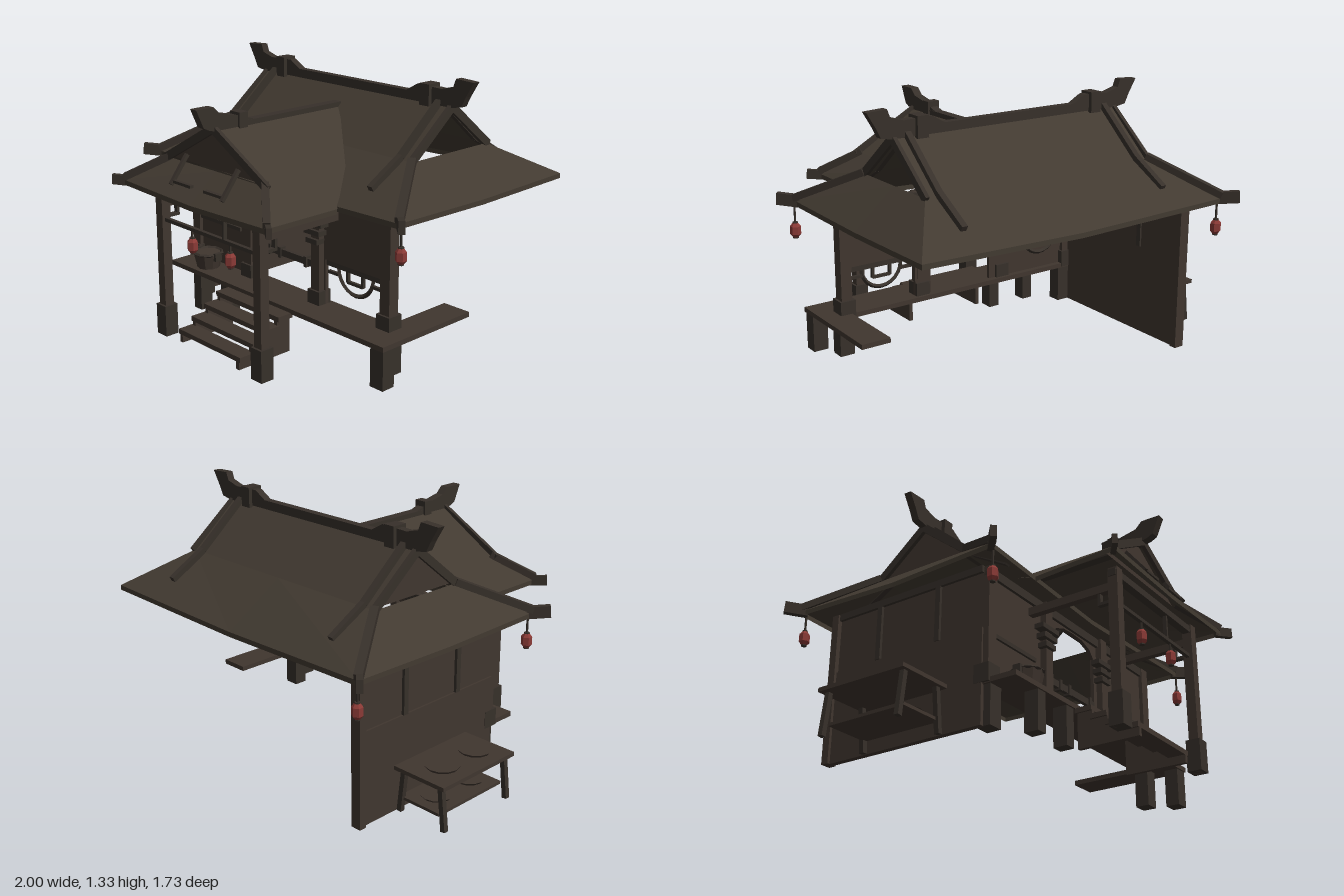
import * as THREE from 'three';

const mat = (name, color) => {
  const m = new THREE.MeshStandardMaterial({ color, side: THREE.DoubleSide, flatShading: true });
  m.name = name;
  return m;
};

export function createModel() {
  const wood = mat('brown wood', 0x40362f);
  const roofing = mat('roof boards', 0x423a31);
  const dark = mat('dark timber', 0x37302a);
  const red = mat('lantern red', 0x8a3a36);
  const root = new THREE.Group();
  root.name = 'porchHouse';

  const add = (name, geo, m, x = 0, y = 0, z = 0) => {
    const o = new THREE.Mesh(geo, m);
    o.name = name;
    o.position.set(x, y, z);
    root.add(o);
    return o;
  };
  // box given by its min and max corners
  const box = (name, m, x0, x1, y0, y1, z0, z1) =>
    add(name, new THREE.BoxGeometry(x1 - x0, y1 - y0, z1 - z0), m, (x0 + x1) / 2, (y0 + y1) / 2, (z0 + z1) / 2);
  // square bar between two points
  const beam = (name, m, a, b, w, h) => {
    const A = new THREE.Vector3(...a), B = new THREE.Vector3(...b);
    const o = add(name, new THREE.BoxGeometry(w, h, A.distanceTo(B)), m);
    o.position.copy(A).add(B).multiplyScalar(0.5);
    o.lookAt(B);
    return o;
  };
  // sheet through rows of points of equal count
  const sheet = (name, m, rows) => {
    const n = rows[0].length, idx = [];
    for (let r = 0; r < rows.length - 1; r++)
      for (let i = 0; i < n - 1; i++) {
        const a = r * n + i, b = a + n;
        idx.push(a, b, a + 1, a + 1, b, b + 1);
      }
    const g = new THREE.BufferGeometry();
    g.setAttribute('position', new THREE.Float32BufferAttribute(rows.flat(2), 3));
    g.setIndex(idx);
    g.computeVertexNormals();
    return add(name, g, m);
  };
  const extrude = (pts, depth) => {
    const g = new THREE.ExtrudeGeometry(new THREE.Shape(pts.map(p => new THREE.Vector2(...p))), { depth, bevelEnabled: false });
    return g.translate(0, 0, -depth / 2);
  };

  // ---- main hip-and-gable roof ----
  const cx = 0.05, cz = -0.21;
  for (const s of [1, -1]) {
    const Z = d => cz + s * d;
    sheet(s > 0 ? 'frontRoofSlope' : 'backRoofSlope', roofing, [
      [[-0.6, 1.2, cz], [cx, 1.2, cz], [0.7, 1.2, cz]],
      [[-0.6, 0.97, Z(0.27)], [cx, 0.97, Z(0.27)], [0.7, 0.97, Z(0.27)]],
      [[-0.82, 0.8, Z(0.59)], [cx, 0.775, Z(0.575)], [0.92, 0.8, Z(0.59)]],
      [[-0.82, 0.775, Z(0.59)], [cx, 0.75, Z(0.575)], [0.92, 0.775, Z(0.59)]]]);
    const X = d => cx + s * d;
    sheet('sideRoofSkirt', roofing, [
      [[X(0.65), 0.97, cz + 0.27], [X(0.65), 0.97, cz], [X(0.65), 0.97, cz - 0.27]],
      [[X(0.87), 0.8, cz + 0.59], [X(0.86), 0.785, cz], [X(0.87), 0.8, cz - 0.59]],
      [[X(0.87), 0.775, cz + 0.59], [X(0.86), 0.76, cz], [X(0.87), 0.775, cz - 0.59]]]);
    // raised strips running down both slopes
    for (const x of [-0.53, 0.63]) {
      beam('roofStrip', dark, [x, 1.215, cz], [x, 0.985, Z(0.27)], 0.03, 0.03);
      beam('roofStrip', dark, [x, 0.985, Z(0.27)], [x, 0.87, Z(0.47)], 0.03, 0.03);
    }
    // gable edge boards
    for (const x of [-0.6, 0.7]) beam('gableBoard', dark, [x, 1.19, cz], [x, 0.965, Z(0.28)], 0.02, 0.04);
  }
  sheet('gable', wood, [[[-0.58, 1.19, cz], [-0.58, 1.19, cz]], [[-0.58, 0.97, cz + 0.26], [-0.58, 0.97, cz - 0.26]]]);
  for (const [sx, sz] of [[-1, 1], [1, 1], [-1, -1]]) {
    const P = (x, y, z) => [cx + sx * x, y, cz + sz * z];
    beam('hipBeam', dark, P(0.65, 0.98, 0.27), P(0.87, 0.815, 0.59), 0.04, 0.035);
    beam('hipTip', dark, P(0.85, 0.8, 0.565), P(0.935, 0.81, 0.645), 0.03, 0.06);
  }

  // ---- ridges with upturned ends ----
  box('mainRidge', dark, -0.4, 0.5, 1.19, 1.235, cz - 0.02, cz + 0.02);
  const horn = [[0.45, 1.19], [0.66, 1.19], [0.72, 1.2], [0.745, 1.25], [0.79, 1.325], [0.685, 1.33],
    [0.67, 1.29], [0.6, 1.27], [0.45, 1.275], [0.38, 1.235], [0.38, 1.19]];
  for (const s of [1, -1]) {
    add('ridgeHorn', extrude(horn.map(([x, y]) => [cx + s * x, y]), 0.04), dark, 0, 0, cz);
    box('ridgeBlock', dark, cx + s * 0.51 - 0.03, cx + s * 0.51 + 0.03, 1.18, 1.285, cz - 0.04, cz + 0.04);
  }
  const px = 0.03;
  box('porchRidge', dark, px - 0.025, px + 0.025, 1.09, 1.13, -0.12, 0.55);
  const porchHorn = add('porchHorn', extrude([[0.5, 1.09], [0.66, 1.1], [0.72, 1.115], [0.75, 1.13], [0.79, 1.22],
    [0.69, 1.22], [0.655, 1.185], [0.56, 1.165], [0.45, 1.13], [0.45, 1.09]], 0.045), dark, px);
  porchHorn.rotation.y = -Math.PI / 2;
  box('porchRidgeBlock', dark, px - 0.035, px + 0.035, 1.1, 1.175, 0.5, 0.55);

  // ---- porch roof ----
  for (const s of [1, -1]) {
    const X = d => px + s * d;
    sheet('porchRoofSlope', roofing, [
      [[px, 1.12, 0.67], [px, 1.12, -0.13]],
      [[X(0.35), 0.91, 0.67], [X(0.35), 0.91, 0.17]],
      [[X(0.53), 0.79, 0.825], [X(0.51), 0.78, 0.38]],
      [[X(0.53), 0.765, 0.825], [X(0.51), 0.755, 0.38]]]);
    beam('porchHipBeam', dark, [X(0.35), 0.92, 0.67], [X(0.53), 0.805, 0.82], 0.035, 0.035);
    beam('porchHipTip', dark, [X(0.51), 0.785, 0.8], [X(0.585), 0.79, 0.855], 0.025, 0.05);
    beam('porchGableBoard', dark, [px, 1.115, 0.68], [X(0.38), 0.905, 0.68], 0.02, 0.04);
    // small struts lying on the front skirt
    beam('skirtStrut', dark, [X(0.19), 0.96, 0.69], [X(0.19), 0.83, 0.79], 0.018, 0.018);
    box('skirtSlat', dark, Math.min(X(0.05), X(0.19)), Math.max(X(0.05), X(0.19)), 0.838, 0.852, 0.765, 0.785);
  }
  sheet('porchFrontSkirt', roofing, [
    [[px - 0.35, 0.91, 0.67], [px, 0.91, 0.67], [px + 0.35, 0.91, 0.67]],
    [[px - 0.53, 0.79, 0.825], [px, 0.775, 0.825], [px + 0.53, 0.79, 0.825]],
    [[px - 0.53, 0.765, 0.825], [px, 0.75, 0.825], [px + 0.53, 0.765, 0.825]]]);
  sheet('porchGable', wood, [[[px, 1.11, 0.65], [px, 1.11, 0.65]], [[px - 0.34, 0.91, 0.65], [px + 0.34, 0.91, 0.65]]]);

  // ---- walls ----
  box('sideWallLower', wood, -0.7, -0.67, 0, 0.47, -0.68, 0.24);
  box('sideWallUpper', wood, -0.69, -0.67, 0.47, 0.78, -0.68, 0.24);
  for (const z of [-0.02, -0.38]) box('sideWindowPost', dark, -0.705, -0.66, 0.47, 0.75, z - 0.014, z + 0.014);
  box('sideTopRail', dark, -0.705, -0.66, 0.75, 0.785, -0.68, 0.24);
  box('frontWallLeft', wood, -0.68, -0.3, 0.2, 0.77, 0.23, 0.25);
  box('frontWallRail', dark, -0.64, -0.3, 0.44, 0.46, 0.225, 0.262);
  box('frontWallRight', wood, 0.33, 0.72, 0.45, 0.77, 0.23, 0.25);
  const arch = [[-0.31, 0.2], [-0.14, 0.2], [-0.14, 0.66], [-0.11, 0.7], [-0.04, 0.725], [0.04, 0.73], [0.13, 0.725],
    [0.2, 0.7], [0.235, 0.66], [0.235, 0.2], [0.33, 0.2], [0.33, 0.78], [-0.31, 0.78]];
  add('archedDoorway', extrude(arch, 0.02), wood, 0, 0, 0.24);
  box('lintel', dark, -0.69, 0.77, 0.735, 0.78, 0.215, 0.265);

  // ---- columns with square feet ----
  const column = (x, z, y0, w, footH) => {
    box('column', wood, x - w / 2, x + w / 2, y0, 0.78, z - w / 2, z + w / 2);
    box('columnFoot', dark, x - w / 2 - 0.012, x + w / 2 + 0.012, y0, y0 + footH, z - w / 2 - 0.012, z + w / 2 + 0.012);
  };
  for (const x of [-0.33, 0.4]) {
    column(x, 0.72, 0, 0.05, 0.16);
    box('tieBeam', wood, x - 0.018, x + 0.018, 0.67, 0.71, 0.24, 0.72);
    box('tieBracket', dark, x - 0.012, x + 0.012, 0.61, 0.625, 0.63, 0.7);
    box('tieBracket', dark, x - 0.012, x + 0.012, 0.61, 0.67, 0.63, 0.645);
  }
  for (const x of [-0.66, 0.74]) column(x, 0.24, 0.2, 0.06, 0.09);
  for (const s of [1, -1]) {
    const x = 0.035 + s * 0.255;
    column(x, 0.255, 0.2, 0.055, 0.09);
    for (let i = 0; i < 3; i++)
      box('doorBracket', dark, x - 0.05 - i * 0.014, x + 0.03 + i * 0.014, 0.53 + i * 0.045, 0.555 + i * 0.045, 0.25, 0.3);
  }
  box('backColumn', wood, -0.715, -0.66, 0, 0.78, -0.685, -0.645);
  box('porchCrossBar', dark, -0.33, 0.4, 0.6, 0.618, 0.71, 0.73);
  box('porchHanger', dark, 0.14, 0.152, 0.61, 0.74, 0.71, 0.73);
  box('porchTopBeam', dark, -0.36, 0.43, 0.735, 0.77, 0.7, 0.74);

  // ---- doorway rail and curved lattice ----
  box('doorRail', dark, -0.14, 0.24, 0.385, 0.42, 0.23, 0.25);
  for (const x of [-0.08, 0, 0.19]) box('doorRailPost', dark, x - 0.01, x + 0.01, 0.375, 0.43, 0.222, 0.258);
  for (const [x, z] of [[0.525, 0.24], [-0.47, 0.215]]) {
    box('latticeRail', dark, x - 0.19, x + 0.18, 0.425, 0.452, z - 0.01, z + 0.01);
    add('latticeArc', new THREE.TorusGeometry(0.115, 0.011, 4, 12, Math.PI), dark, x, 0.43, z).rotation.z = Math.PI;
    for (const s of [1, -1]) {
      box('latticeBar', dark, x + s * 0.145 - 0.035, x + s * 0.145 + 0.035, 0.385, 0.4, z - 0.008, z + 0.008);
      box('latticeDrop', dark, x + s * 0.05 - 0.007, x + s * 0.05 + 0.007, 0.37, 0.43, z - 0.008, z + 0.008);
    }
    box('latticeCentre', dark, x - 0.05, x + 0.05, 0.365, 0.379, z - 0.008, z + 0.008);
  }

  // ---- deck, its posts and the stairs ----
  box('deckFront', wood, -0.69, 0.875, 0.195, 0.22, 0.2, 0.42);
  box('deckSide', wood, 0.72, 0.875, 0.195, 0.22, -0.18, 0.2);
  for (const [x, z] of [[-0.64, 0.24], [-0.48, 0.375], [-0.25, 0.375], [0.75, 0.24], [0.83, 0.375]]) {
    const w = Math.abs(x) > 0.6 ? 0.04 : 0.03;
    box('deckPost', dark, x - w, x + w, 0, 0.2, z - 0.037, z + 0.037);
  }
  const steps = [[0.42, 0], [0.42, 0.175], [0.5, 0.175], [0.5, 0.135], [0.58, 0.135], [0.58, 0.09], [0.66, 0.09], [0.66, 0.045], [0.74, 0.045], [0.74, 0]];
  for (const x of [-0.19, 0.245]) add('stairSide', extrude(steps, 0.02), wood, x).rotation.y = -Math.PI / 2;
  for (let i = 0; i < 4; i++)
    box('stairTread', wood, -0.21, 0.265, 0.04 + i * 0.045, 0.065 + i * 0.045, 0.65 - i * 0.08, 0.74 - i * 0.08);

  // ---- tub on the deck ----
  add('tub', new THREE.CylinderGeometry(0.078, 0.06, 0.08, 10), wood, -0.48, 0.26, 0.335);
  add('tubRim', new THREE.TorusGeometry(0.074, 0.009, 4, 10), dark, -0.48, 0.3, 0.335).rotation.x = Math.PI / 2;
  for (const s of [1, -1]) box('tubHandle', dark, -0.48 + s * 0.078 - 0.01, -0.48 + s * 0.078 + 0.01, 0.27, 0.312, 0.315, 0.355);

  // ---- side table with trays ----
  box('tableTop', wood, -1, -0.7, 0.215, 0.235, -0.45, 0.05);
  box('tableShelf', wood, -0.95, -0.71, 0.06, 0.075, -0.42, 0.02);
  for (const z of [-0.42, 0.02])
    for (const [top, foot] of [[-0.96, -0.985], [-0.74, -0.715]]) beam('tableLeg', dark, [foot, 0, z], [top, 0.22, z], 0.025, 0.025);
  for (const z of [-0.3, -0.07]) {
    add('tray', new THREE.CylinderGeometry(0.085, 0.075, 0.014, 12), wood, -0.86, 0.242, z);
    add('shelfTray', new THREE.CylinderGeometry(0.08, 0.07, 0.012, 12), wood, -0.83, 0.081, z);
  }

  // ---- hanging lanterns ----
  const lantern = (x, y, z, cord) => {
    add('lantern', new THREE.LatheGeometry([[0.013, -0.037], [0.027, -0.02], [0.027, 0.02], [0.013, 0.037]]
      .map(p => new THREE.Vector2(...p)), 6), red, x, y, z);
    for (const s of [1, -1]) add('lanternCap', new THREE.CylinderGeometry(0.014, 0.014, 0.008, 6), dark, x, y + s * 0.038, z);
    box('lanternCord', dark, x - 0.004, x + 0.004, y + 0.04, y + cord, z - 0.004, z + 0.004);
  };
  for (const [x, z] of [[-0.8, 0.37], [0.925, 0.37], [-0.8, -0.785]]) lantern(x, 0.653, z, 0.13);
  for (const x of [-0.1, 0.185]) lantern(x, 0.525, 0.72, 0.08);

  return root;
}
